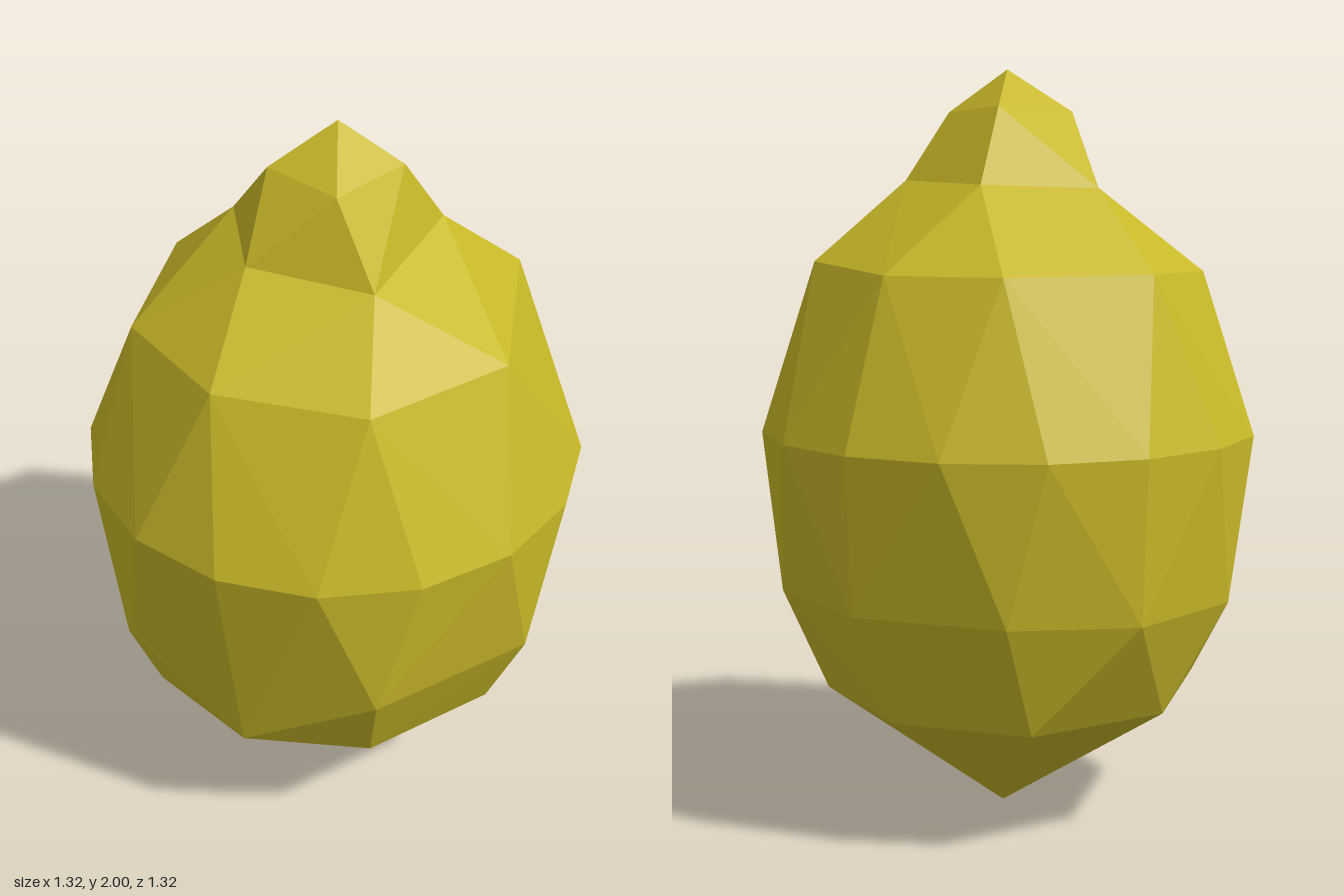
import * as THREE from 'three';
import { ConvexGeometry } from 'three/addons/geometries/ConvexGeometry.js';

const points = (list) => list.map((p) => new THREE.Vector3(...p));

export function createModel() {
  const peel = new THREE.MeshStandardMaterial({ color: 0xc8b828 });
  peel.name = 'lemon yellow';
  peel.flatShading = true;

  // Regular sixteen-sided ring round the widest part
  const equator = [];
  for (let i = 0; i < 16; i++) {
    const a = (i / 16) * Math.PI * 2;
    equator.push([0.662 * Math.cos(a), 1.05, 0.66 * Math.sin(a)]);
  }

  // Irregular ring on the shoulder
  const shoulder = [
    [0, 1.48, -0.51], [0.36, 1.5, -0.37], [0.51, 1.48, 0.08], [0.3, 1.47, 0.42],
    [-0.08, 1.48, 0.505], [-0.41, 1.47, 0.32], [-0.51, 1.48, -0.08], [-0.3, 1.48, -0.42],
  ];

  // Ring below the widest part
  const belly = [
    [0.37, 0.64, 0.51], [0.62, 0.64, 0.11], [0.37, 0.64, -0.5], [0.02, 0.64, -0.62],
    [-0.37, 0.64, -0.5], [-0.59, 0.63, -0.24], [-0.62, 0.63, 0.12], [-0.36, 0.63, 0.52],
  ];

  // Lowest ring and the pointed end
  const base = [
    [0, 0.41, 0.55], [0.3, 0.36, 0.39], [0.5, 0.36, 0.06], [0.52, 0.44, -0.2],
    [0.34, 0.35, -0.36], [0, 0.34, -0.49], [-0.35, 0.34, -0.37], [-0.5, 0.34, 0],
    [-0.35, 0.35, 0.39], [0.02, 0, 0],
  ];

  // Five-sided neck shared by the body and the nub
  const neck = [
    [0.23, 1.71, -0.15], [0.21, 1.67, 0.21], [-0.11, 1.69, 0.26],
    [-0.28, 1.69, 0.01], [-0.1, 1.7, -0.25],
  ];

  // Four-sided nub ring and its tip
  const nub = [
    [0.17, 1.89, -0.04], [0.09, 1.88, 0.17], [-0.12, 1.89, 0.12],
    [-0.05, 1.9, -0.11], [0.02, 2, 0.02],
  ];

  const group = new THREE.Group();
  group.name = 'lemon';
  const addPart = (name, list) => {
    const mesh = new THREE.Mesh(new ConvexGeometry(points(list)), peel);
    mesh.name = name;
    group.add(mesh);
  };
  addPart('fruitBody', [...neck, ...shoulder, ...equator, ...belly, ...base]);
  addPart('stemNub', [...neck, ...nub]);
  return group;
}
